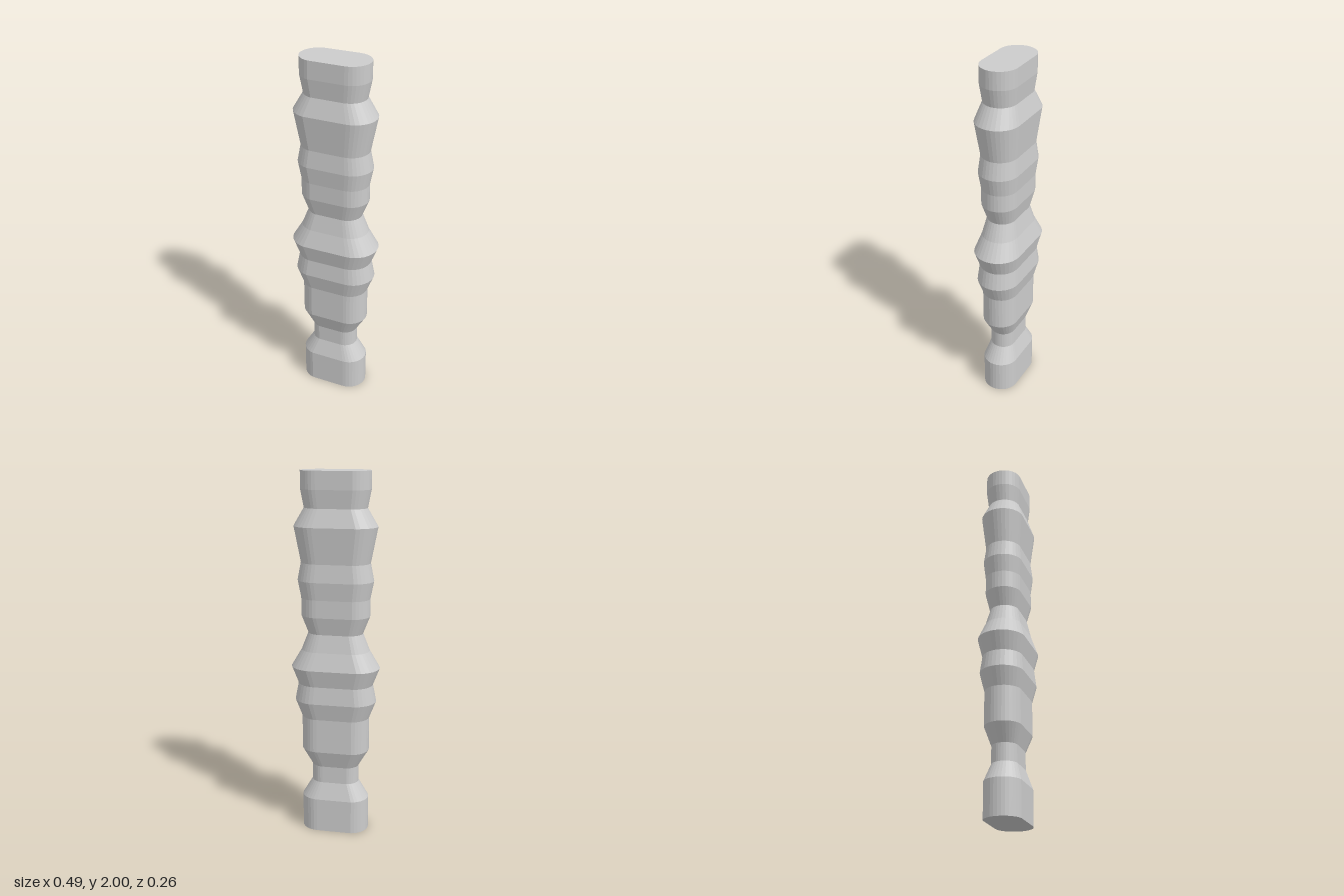
import * as THREE from 'three';

const RADIUS = 0.1;       // end-cap radius of the stadium section
const OFFSET = 0.0873;    // distance of each arc centre from the axis
const ARC = 16;           // facets per half circle
const STEP = 2 / 21;      // height of one profile level

// Section scale at each level, bottom to top
const SCALES = [1, 1, 1, 0.7, 0.7, 1, 1, 1, 1.2, 1.1, 1.3,
  1, 0.8, 1, 1, 1.1, 1, 1.1, 1.2, 0.9, 1, 1];

// Stadium outline: full arc on +x, inner arc points only on -x
function stadium() {
  const points = [];
  for (let i = 0; i <= ARC; i++) {
    const a = -Math.PI / 2 + (Math.PI * i) / ARC;
    points.push([OFFSET + RADIUS * Math.cos(a), RADIUS * Math.sin(a)]);
  }
  for (let i = 1; i < ARC; i++) {
    const a = Math.PI / 2 + (Math.PI * i) / ARC;
    points.push([-OFFSET + RADIUS * Math.cos(a), RADIUS * Math.sin(a)]);
  }
  return points;
}

// Stack scaled outlines into a closed, capped column
function columnGeometry() {
  const outline = stadium();
  const n = outline.length;
  const positions = [];
  const index = [];
  SCALES.forEach((s, level) => {
    for (const [x, z] of outline) positions.push(x * s, level * STEP, z * s);
  });
  const top = SCALES.length - 1;
  for (let level = 0; level < top; level++) {
    for (let i = 0; i < n; i++) {
      const j = (i + 1) % n;
      const a = level * n + i, b = level * n + j;
      index.push(a, a + n, b, b, a + n, b + n);
    }
  }
  // Flat end caps
  for (let i = 1; i < n - 1; i++) {
    index.push(0, i, i + 1);
    index.push(top * n, top * n + i + 1, top * n + i);
  }
  const indexed = new THREE.BufferGeometry();
  indexed.setAttribute('position', new THREE.Float32BufferAttribute(positions, 3));
  indexed.setIndex(index);
  const geometry = indexed.toNonIndexed();
  geometry.computeVertexNormals();
  return geometry;
}

export function createModel() {
  const group = new THREE.Group();
  group.name = 'ribbedColumn';
  const material = new THREE.MeshStandardMaterial({ color: 0xcccccc, flatShading: true });
  const column = new THREE.Mesh(columnGeometry(), material);
  column.name = 'column';
  group.add(column);
  return group;
}
